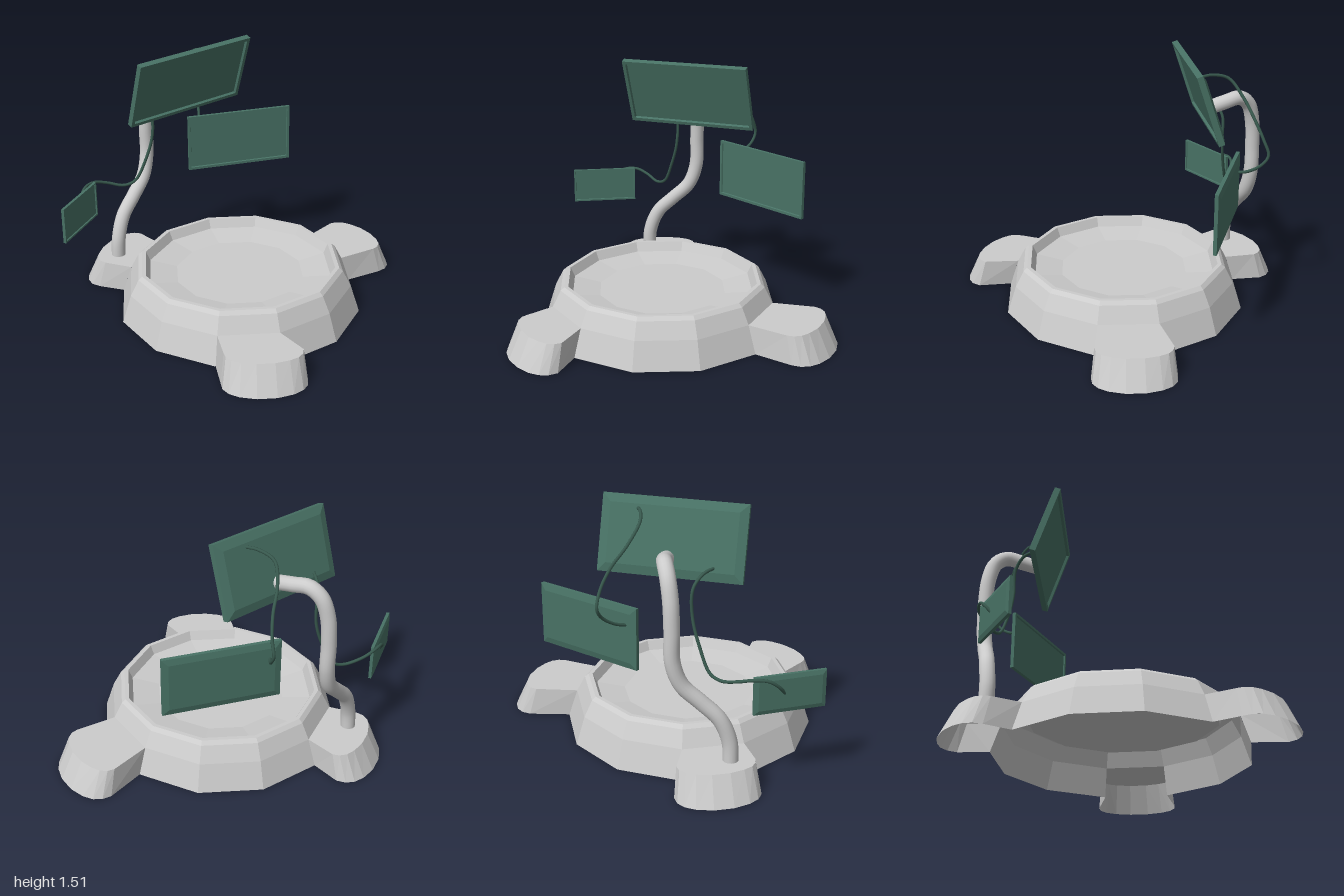
import * as THREE from 'three';

const grey = new THREE.MeshStandardMaterial({ color: 0xcccccc, flatShading: true, side: THREE.DoubleSide });
const smoothGrey = new THREE.MeshStandardMaterial({ color: 0xcccccc });
const green = new THREE.MeshStandardMaterial({ color: 0x487265, flatShading: true });
const cableGreen = new THREE.MeshStandardMaterial({ color: 0x38594e });

// Skin a stack of outlines (counter-clockwise, stacked along z) and cap its end.
// An open stack has no wall between the last and first corner and no start cap.
function loft(rings, open) {
  const pos = [];
  const tri = (a, b, c) => pos.push(...a, ...b, ...c);
  const n = rings[0].length;
  for (let k = 0; k < rings.length - 1; k++) {
    const a = rings[k], b = rings[k + 1];
    for (let i = 0; i < (open ? n - 1 : n); i++) {
      const j = (i + 1) % n;
      tri(a[i], a[j], b[j]);
      tri(a[i], b[j], b[i]);
    }
  }
  const first = rings[0], last = rings[rings.length - 1];
  for (let i = 1; i < n - 1; i++) {
    if (!open) tri(first[0], first[i + 1], first[i]);
    tri(last[0], last[i], last[i + 1]);
  }
  const geo = new THREE.BufferGeometry();
  geo.setAttribute('position', new THREE.Float32BufferAttribute(pos, 3));
  geo.computeVertexNormals();
  return geo;
}

function part(name, geo, mat) {
  const mesh = new THREE.Mesh(geo, mat);
  mesh.name = name;
  return mesh;
}

// Thin screen with a raised front frame and a chamfered back.
function screen(name, w, h, t, border, position, rotation) {
  const rect = (inset, z) => {
    const x = w / 2 - inset, y = h / 2 - inset;
    return [[-x, -y, z], [x, -y, z], [x, y, z], [-x, y, z]];
  };
  const f = t / 2;
  const geo = loft([
    rect(border * 2.4, -f), rect(0, -f * 0.4), rect(0, f),
    rect(border, f), rect(border * 1.2, f - t * 0.3),
  ], false);
  const mesh = part(name, geo, green);
  mesh.position.set(...position);
  mesh.rotation.set(...rotation, 'YXZ');
  return mesh;
}

// Hollow foot growing out of one side of the base; only its outer end shifts.
function foot(angle, reach, side) {
  const outline = (root, half, z) => {
    const edge = s => [
      [root[0], s * root[1], z],
      ...half.map(([x, y]) => [x + reach, s * y - side, z]),
    ];
    return [...edge(-1), ...edge(1).reverse()];
  };
  const geo = loft([
    outline([0.7, 0.1875], [[0.93, 0.236], [0.985, 0.23], [1.03, 0.2], [1.065, 0.145], [1.09, 0.055]], 0),
    outline([0.648, 0.174], [[0.89, 0.216], [0.93, 0.208], [0.965, 0.18], [0.99, 0.13], [1.01, 0.05]], 0.165),
  ], true).rotateX(-Math.PI / 2);
  const mesh = part('foot', geo, grey);
  mesh.rotation.y = -angle;
  return mesh;
}

// Round tube through a few points, closed at both ends.
function tube(name, points, radius, mat, steps, sides) {
  const curve = new THREE.CatmullRomCurve3(points.map(p => new THREE.Vector3(...p)));
  const group = new THREE.Group();
  group.name = name;
  group.add(part(name + 'Tube', new THREE.TubeGeometry(curve, steps, radius, sides), mat));
  for (const [t, sign] of [[0, -1], [1, 1]]) {
    const cap = part(name + 'Cap', new THREE.CircleGeometry(radius, sides), mat);
    cap.position.copy(curve.getPointAt(t));
    cap.quaternion.setFromUnitVectors(
      new THREE.Vector3(0, 0, 1), curve.getTangentAt(t).multiplyScalar(sign));
    group.add(cap);
  }
  return group;
}

export function createModel() {
  const model = new THREE.Group();
  model.name = 'screenStand';

  // Twelve-sided base, open underneath
  const base = new THREE.Group();
  base.name = 'base';
  base.position.set(-0.09, 0, -0.01);
  const step = Math.PI / 6;
  const ring = ([apothem, y]) => new THREE.Vector2(apothem / Math.cos(step / 2), y);

  // Upper wall, rim and shallow dish
  const upper = [
    [0.648, 0.165], [0.6, 0.26], [0.578, 0.28], [0.555, 0.28], [0.53, 0.225], [0.37, 0.2], [0, 0.2],
  ].map(ring);
  base.add(part('dish', new THREE.LatheGeometry(upper, 12, step / 2), grey));

  // Lower wall in three runs, leaving gaps where the feet join
  const lower = [[0.7, 0], [0.648, 0.165]].map(ring);
  for (let i = 0; i < 3; i++) {
    const start = -step / 2 + i * step * 4;
    base.add(part('lowerWall', new THREE.LatheGeometry(lower, 3, start, step * 3), grey));
  }

  // Feet: a long one at the left side, two shorter ones at the right
  base.add(foot(0, 0, -0.02));
  base.add(foot(step * 4, -0.069, -0.065));
  base.add(foot(-step * 4, -0.069, 0.025));
  model.add(base);

  // Bent pole rising from the back foot
  model.add(tube('pole', [
    [-0.545, 0.13, -0.68], [-0.535, 0.28, -0.68], [-0.485, 0.41, -0.7], [-0.39, 0.51, -0.73],
    [-0.295, 0.61, -0.765], [-0.253, 0.74, -0.787], [-0.25, 0.92, -0.79], [-0.24, 1.08, -0.78],
    [-0.215, 1.19, -0.75], [-0.18, 1.24, -0.69], [-0.145, 1.225, -0.6], [-0.12, 1.195, -0.49],
  ], 0.043, smoothGrey, 60, 16));

  // Screens
  model.add(screen('mainScreen', 0.792, 0.42, 0.05, 0.02, [-0.139, 1.297, -0.445], [0.323, 0.095, 0.018]));
  model.add(screen('leftScreen', 0.665, 0.355, 0.03, 0.015, [0.3, 0.787, -0.575], [0, -0.305, 0]));
  model.add(screen('rightScreen', 0.402, 0.215, 0.025, 0.01, [-0.832, 0.573, -0.59], [0, 0.61, 0]));

  // Cables from the main screen to the smaller ones
  model.add(tube('leftCable', [
    [0.06, 1.44, -0.43], [0.02, 1.44, -0.5], [-0.01, 1.41, -0.6], [0.03, 1.31, -0.68],
    [0.1, 1.2, -0.74], [0.14, 1.09, -0.79], [0.147, 1, -0.82],
    [0.135, 0.94, -0.785], [0.09, 0.885, -0.72], [0.045, 0.86, -0.66],
  ], 0.009, cableGreen, 60, 8));
  model.add(tube('rightCable', [
    [-0.38, 1.17, -0.48], [-0.34, 1.155, -0.56], [-0.305, 1.09, -0.61], [-0.305, 0.93, -0.615],
    [-0.35, 0.775, -0.63], [-0.415, 0.645, -0.655], [-0.48, 0.622, -0.675], [-0.58, 0.65, -0.715],
    [-0.66, 0.672, -0.72], [-0.74, 0.665, -0.69], [-0.79, 0.62, -0.65], [-0.81, 0.57, -0.61],
  ], 0.009, cableGreen, 70, 8));

  return model;
}
